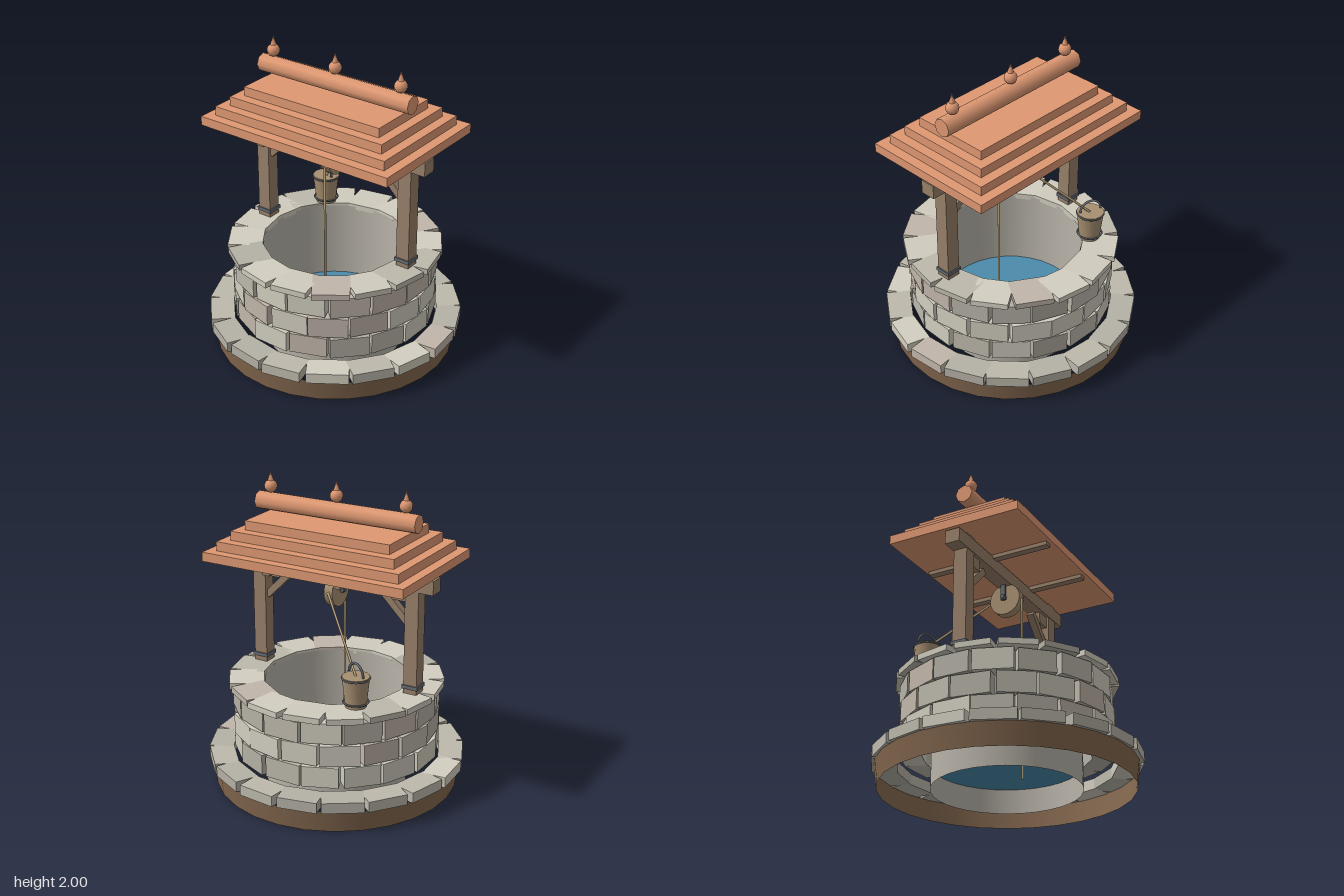
import * as THREE from 'three';
import { toCreasedNormals } from 'three/addons/utils/BufferGeometryUtils.js';

const mat = (color, side = THREE.FrontSide) => new THREE.MeshStandardMaterial({ color, side });
const STONES = [0xcfcbbd, 0xbdb9ac, 0xc1b6aa, 0xd3cfc1, 0xb5b1a6].map((c) => mat(c));
const WOOD = mat(0x98806a), PALE_WOOD = mat(0xa89072), ROOF = mat(0xde9872), EARTH = mat(0x84684f, THREE.DoubleSide);
const IRON = mat(0x646a72), ROPE = mat(0xc4aa80), LINING = mat(0xb8b3a9, THREE.DoubleSide);
const WATER = mat(0x4b8cac, THREE.DoubleSide);

// Small repeatable noise in the range -1..1
let seed = 7;
function noise() {
  seed = (seed * 16807) % 2147483647;
  return (seed / 2147483647) * 2 - 1;
}

function add(parent, name, geometry, material, x = 0, y = 0, z = 0) {
  const mesh = new THREE.Mesh(geometry, material);
  mesh.name = name;
  mesh.position.set(x, y, z);
  parent.add(mesh);
  return mesh;
}

const box = (w, h, d) => new THREE.BoxGeometry(w, h, d);

// A ring of block stones between two radii
function stoneRing(parent, name, { count, inner, outer, bottom, height, width, start }) {
  const ring = new THREE.Group();
  ring.name = name;
  parent.add(ring);
  for (let i = 0; i < count; i++) {
    const a = start + (i / count) * Math.PI * 2 + noise() * 0.012;
    const r = (inner + outer) / 2 + noise() * 0.006;
    const stone = add(ring, 'stone', box(width * (1 + noise() * 0.04), height, outer - inner),
      STONES[Math.floor((noise() + 1) * 2.49)], Math.sin(a) * r, bottom + height / 2, Math.cos(a) * r);
    stone.rotation.y = a + noise() * 0.02;
  }
}

// A straight rope between two points
function rope(parent, name, from, to) {
  const path = new THREE.LineCurve3(new THREE.Vector3(...from), new THREE.Vector3(...to));
  add(parent, name, new THREE.TubeGeometry(path, 1, 0.008, 6), ROPE);
}

function buildWell(parent) {
  const well = new THREE.Group();
  well.name = 'well';
  parent.add(well);
  add(well, 'earthRing', new THREE.CylinderGeometry(0.815, 0.795, 0.145, 28, 1, true), EARTH, 0, 0.0725, 0);
  stoneRing(well, 'footCourse', { count: 18, inner: 0.67, outer: 0.828, bottom: 0.143, height: 0.07, width: 0.262, start: -0.05 });
  for (let row = 0; row < 3; row++) {
    stoneRing(well, 'wallCourse', {
      count: 16, inner: 0.52, outer: 0.66, bottom: 0.228 + row * 0.147, height: 0.136, width: 0.242,
      start: row % 2 ? -0.1 : 0.096,
    });
  }
  stoneRing(well, 'capCourse', { count: 16, inner: 0.465, outer: 0.69, bottom: 0.668, height: 0.039, width: 0.235, start: -0.08 });
  add(well, 'shaftLining', new THREE.CylinderGeometry(0.468, 0.468, 0.69, 32, 1, true), LINING, 0, 0.345, 0);
  add(well, 'water', new THREE.CircleGeometry(0.468, 32).rotateX(-Math.PI / 2), WATER, 0, 0.16, 0);
}

function buildFrame(canopy) {
  for (const s of [-1, 1]) {
    add(canopy, 'post', box(0.092, 0.79, 0.092), WOOD, s * 0.555, 1.095, 0);
    add(canopy, 'postBand', box(0.108, 0.025, 0.108), IRON, s * 0.555, 0.752, 0);
    add(canopy, 'corbel', box(0.1, 0.08, 0.06), WOOD, s * 0.46, 1.347, 0);
    add(canopy, 'brace', box(0.045, 0.25, 0.05), WOOD, s * 0.425, 1.26, 0).rotation.z = s * Math.PI / 4;
    add(canopy, 'rafter', box(0.05, 0.04, 0.86), WOOD, s * 0.25, 1.483, 0);
  }
  add(canopy, 'crossBeam', box(1.4, 0.09, 0.1), WOOD, 0, 1.43, 0);
}

function buildRoof(canopy) {
  for (let i = 0; i < 4; i++) {
    add(canopy, 'roofTier', box(1.41 - i * 0.13, 0.06, 0.912 - i * 0.13), ROOF, 0, 1.519 + i * 0.061, 0);
  }
  add(canopy, 'ridgeRoll', new THREE.CylinderGeometry(0.06, 0.06, 1.14, 8).rotateZ(Math.PI / 2), ROOF, 0, 1.8, 0);
  for (const x of [-0.482, 0, 0.482]) {
    add(canopy, 'finialBall', new THREE.SphereGeometry(0.042, 10, 8), ROOF, x, 1.9, 0);
    add(canopy, 'finialSpike', new THREE.ConeGeometry(0.022, 0.07, 8), ROOF, x, 1.965, 0);
  }
}

function buildPulley(canopy) {
  // Wheel turning on the long axis of the beam
  add(canopy, 'pulleyWheel', new THREE.CylinderGeometry(0.108, 0.108, 0.06, 18).rotateZ(Math.PI / 2), PALE_WOOD, 0, 1.293, 0);
  add(canopy, 'pulleyAxle', new THREE.CylinderGeometry(0.016, 0.016, 0.13, 10).rotateZ(Math.PI / 2), IRON, 0, 1.3, 0);
  for (const s of [-1, 1]) add(canopy, 'pulleyHanger', box(0.014, 0.11, 0.034), IRON, s * 0.05, 1.335, 0);
}

function buildBucket(parent) {
  const bucket = new THREE.Group();
  bucket.name = 'bucket';
  bucket.position.set(-0.237, 0.71, -0.457);
  bucket.rotation.y = -0.7;
  parent.add(bucket);
  const profile = [[0, 0], [0.067, 0], [0.088, 0.198], [0, 0.198]].map(([r, y]) => new THREE.Vector2(r, y));
  add(bucket, 'bucketBody', toCreasedNormals(new THREE.LatheGeometry(profile, 14), 0.6), PALE_WOOD);
  for (const [y, r] of [[0.03, 0.079], [0.188, 0.087]]) {
    add(bucket, 'bucketHoop', new THREE.TorusGeometry(r, 0.006, 6, 20).rotateX(Math.PI / 2), IRON, 0, y, 0);
  }
  add(bucket, 'bucketHandle', new THREE.TorusGeometry(0.072, 0.008, 6, 16, Math.PI), IRON, 0, 0.208, 0);
}

export function createModel() {
  const model = new THREE.Group();
  model.name = 'wishingWell';
  buildWell(model);

  // Roofed frame, turned a little on the well
  const canopy = new THREE.Group();
  canopy.name = 'canopy';
  canopy.rotation.y = -0.28;
  model.add(canopy);
  buildFrame(canopy);
  buildRoof(canopy);
  buildPulley(canopy);

  buildBucket(model);
  rope(model, 'shaftRope', [-0.03, 1.29, 0.104], [-0.03, 0.055, 0.104]);
  rope(model, 'bucketRope', [0.03, 1.3, -0.104], [-0.237, 0.9, -0.457]);
  return model;
}
